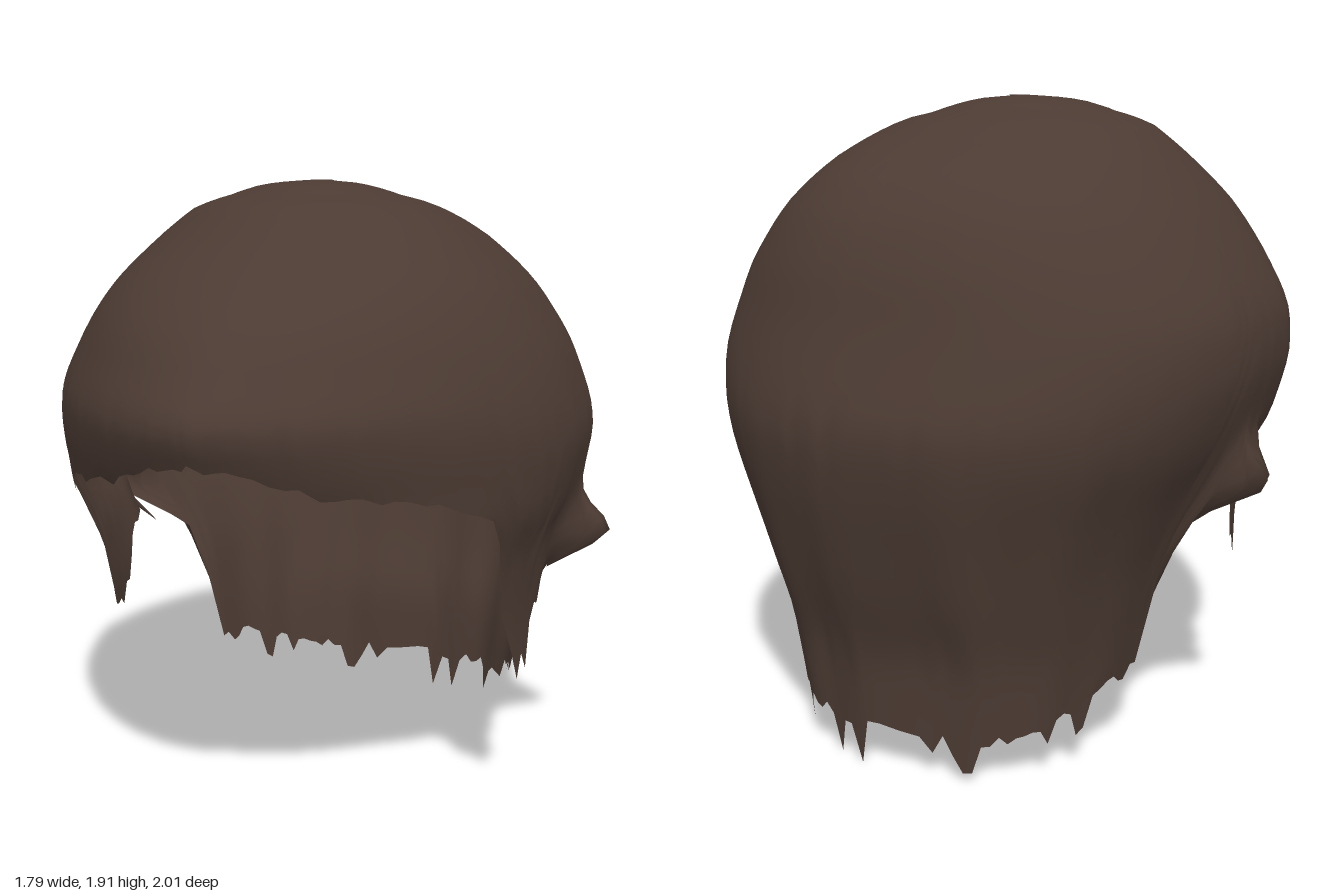
import * as THREE from 'three';

const TOP = 1.91, ZC = -0.05, COLS = 144, ROWS = 44;

// Piecewise interpolation of [key, value] pairs sorted by key
function lookup(table, k) {
  if (k <= table[0][0]) return table[0][1];
  for (let i = 1; i < table.length; i++) {
    const [a, va] = table[i - 1], [b, vb] = table[i];
    if (k <= b) return va + (vb - va) * (k - a) / (b - a);
  }
  return table[table.length - 1][1];
}
// Same, softened so the profile has no hard bands
function soft(table, y) {
  const d = Math.min(0.05, TOP - y);
  return (lookup(table, y - d) + 2 * lookup(table, y) + lookup(table, y + d)) / 4;
}

// Extents of the horizontal cross-sections, by height
const FRONT = [[0.4, 0.7], [0.9, 0.82], [1.05, 0.95], [1.1, 0.99], [1.16, 1.02], [1.27, 1.07], [1.5, 0.9],
  [1.62, 0.75], [1.73, 0.56], [1.81, 0.46], [1.87, 0.36], [1.895, 0.25], [TOP, 0]];
const BACK = [[0, 0.76], [0.35, 0.78], [0.55, 0.85], [0.85, 0.93], [1.03, 0.96], [1.3, 0.87],
  [1.45, 0.83], [1.6, 0.76], [1.74, 0.62], [1.78, 0.46], [1.85, 0.37], [1.89, 0.28], [1.9, 0.2], [TOP, 0]];
const LEFT = [[0, 0.5], [0.2, 0.53], [0.4, 0.57], [0.6, 0.63], [0.8, 0.71], [0.95, 0.78], [1.15, 0.82],
  [1.25, 0.8], [1.42, 0.735], [1.6, 0.615], [1.78, 0.42], [1.87, 0.23], [1.9, 0.08], [TOP, -0.06]];
const RIGHT = [[0, 0.54], [0.2, 0.56], [0.4, 0.6], [0.6, 0.65], [0.8, 0.74], [0.95, 0.84], [1.15, 0.905],
  [1.3, 0.9], [1.45, 0.815], [1.6, 0.71], [1.75, 0.56], [1.87, 0.41], [1.9, 0.24], [TOP, 0.06]];

// Roundness exponents of the cross-sections: pointed brow, squarer nape
const FRONT_SHAPE = [[0.9, 2.1], [1.08, 1.7], [1.25, 1.6], [1.4, 1.65], [1.7, 1.9]];
const BACK_SHAPE = [[0.3, 2.8], [1, 2.3]];

// Hem height from nape (-1) past ear and sideburn to fringe (1)
const HEM = [[-1, 0.1], [-0.85, 0.13], [-0.6, 0.21], [-0.38, 0.29], [-0.33, 0.5], [-0.27, 0.74], [-0.2, 0.77],
  [-0.05, 0.74], [0.07, 0.68], [0.15, 0.6], [0.2, 0.46], [0.35, 0.5], [0.42, 0.75], [0.52, 0.94],
  [0.6, 1.02], [0.77, 1.06], [0.89, 1.08], [0.94, 1.13], [1, 1.17]];

const bump = (v, centre, width) => Math.exp(-(((v - centre) / width) ** 2));

function makeRandom(seed) {
  return () => (seed = (seed * 16807) % 2147483647) / 2147483647;
}

// Front-to-back position of a column, from -1 at the nape to 1 at the brow
function along(angle) {
  const c = Math.cos(angle);
  return Math.sign(c) * Math.abs(c) ** (c > 0 ? 1.16 : 0.9);
}

// One point of the hair shell at an angle around the head and a height
function hairPoint(angle, y) {
  const u = along(angle), side = Math.sign(Math.sin(angle));
  const n = soft(u > 0 ? FRONT_SHAPE : BACK_SHAPE, y);
  const v = side * Math.max(0, 1 - Math.abs(u) ** n) ** (1 / n);
  const l = soft(LEFT, y), r = soft(RIGHT, y);
  // Sideburns hang straight instead of following the neck inward
  const sideburn = THREE.MathUtils.smoothstep(u, -0.2, 0.12) * 0.3 * Math.max(0, 0.85 - y);
  let x = (l - r) / 2 * (1 - Math.max(0, u)) + v * ((l + r) / 2 + sideburn);
  // Locks flicked out over the ears
  x += side * 0.17 * bump(u, -0.19, 0.1) * bump(y, 0.81, 0.09);
  // Gentle waves at the nape
  const wave = 1 + 0.012 * Math.sin(angle * 17) * bump(y, 0.4, 0.4) * Math.max(0, -u);
  return [x * wave, y, (ZC + u * soft(u > 0 ? FRONT : BACK, y)) * wave];
}

export function createModel() {
  const group = new THREE.Group();
  const brown = new THREE.MeshStandardMaterial({ color: 0x4c3b33, side: THREE.DoubleSide });
  brown.name = 'dark brown hair';

  // Ragged ends, longest at the nape and finest on the fringe
  const random = makeRandom(4711);
  const hems = [];
  for (let j = 0; j < COLS; j++) {
    const u = along(j / COLS * Math.PI * 2);
    const rough = u > 0.6 ? 0.025 : 0.09;
    const spike = random() ** 3;
    hems.push(Math.max(0, lookup(HEM, u) + rough * (0.3 - 1.2 * spike) + rough * 0.3 * (random() - 0.5)));
  }
  hems[COLS / 2 - 3] = 0;
  hems[COLS / 2 - 6] = 0.01;

  // Shell: columns rise from the hem to the crown
  const positions = [], index = [];
  for (let i = 0; i <= ROWS; i++) {
    const rise = Math.sin(i / ROWS * Math.PI / 2);
    for (let j = 0; j < COLS; j++) {
      positions.push(...hairPoint(j / COLS * Math.PI * 2, hems[j] + (TOP - hems[j]) * rise));
      if (i === ROWS) continue;
      const a = i * COLS + j, b = i * COLS + (j + 1) % COLS;
      index.push(a, b, b + COLS, a, b + COLS, a + COLS);
    }
  }
  const shell = new THREE.BufferGeometry();
  shell.setAttribute('position', new THREE.Float32BufferAttribute(positions, 3));
  shell.setIndex(index);
  shell.computeVertexNormals();
  const hair = new THREE.Mesh(shell, brown);
  hair.name = 'hair';
  group.add(hair);
  return group;
}
